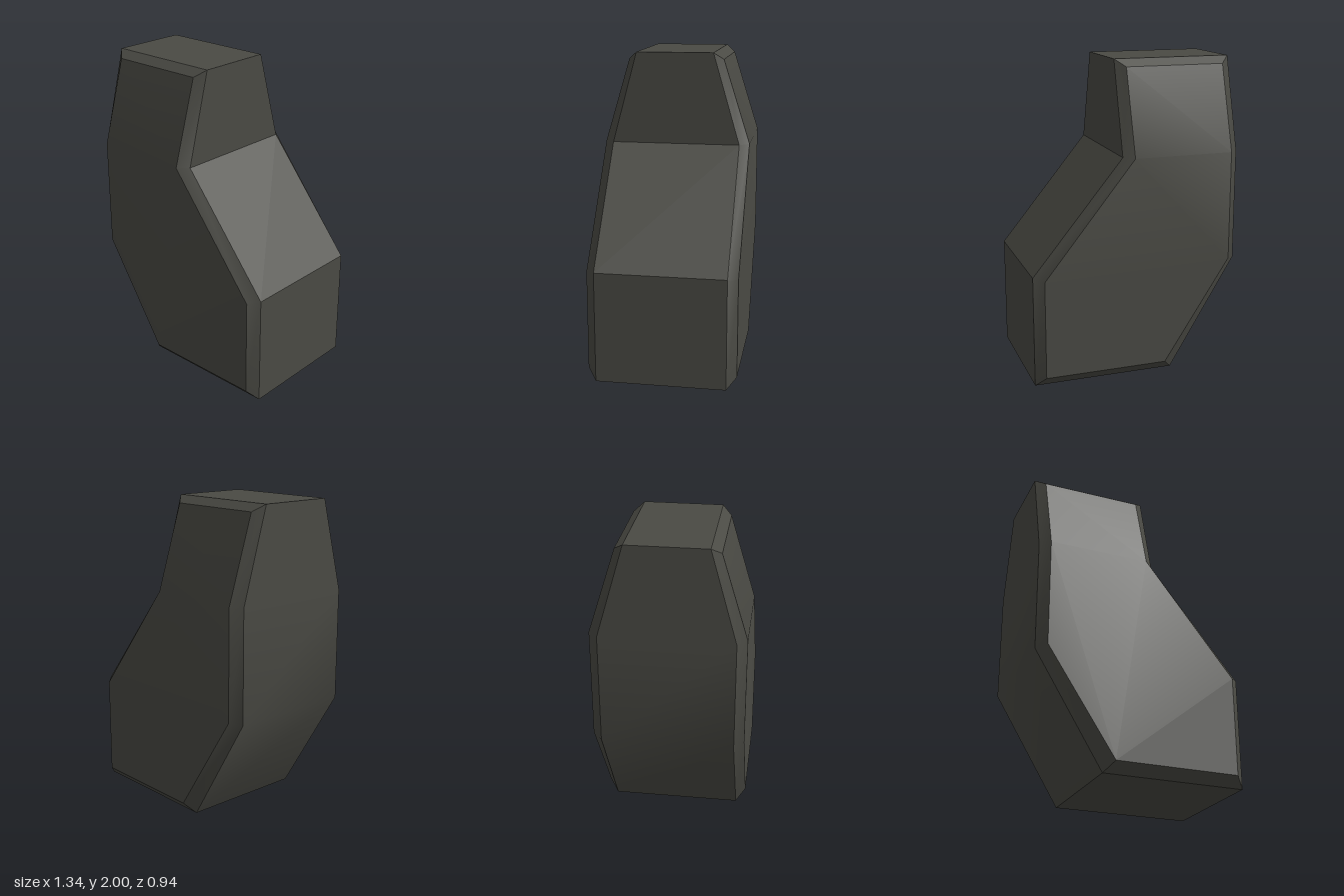
import * as THREE from 'three';
import { toCreasedNormals } from 'three/addons/utils/BufferGeometryUtils.js';

// Bent outline, counter-clockwise from the lower left: outer edge and bevelled inner edge
const outer = [[-0.24, 0], [0.67, 0], [0.67, 0.71], [0.09, 1.42], [0.09, 2], [-0.67, 2], [-0.67, 1.42], [-0.67, 0.71]];
const inner = [[-0.18, 0.065], [0.61, 0.065], [0.61, 0.695], [0.03, 1.42], [0.03, 1.955], [-0.61, 1.955], [-0.61, 1.42], [-0.61, 0.725]];

// Places an outline in depth; the two topmost points taper inward
const ring = (outline, z, zTop) => outline.map(([x, y], i) => [x, y, i === 4 || i === 5 ? zTop : z]);

function blockGeometry() {
  const rings = [
    ring(inner, 0.47, 0.31),
    ring(outer, 0.41, 0.252),
    ring(outer, -0.41, -0.24),
    ring(inner, -0.47, -0.3),
  ];
  const positions = [];
  const fan = (pts) => {
    for (let i = 1; i < pts.length - 1; i++) positions.push(...pts[0], ...pts[i], ...pts[i + 1]);
  };

  // Front bevel, side walls and back bevel
  for (let r = 0; r < 3; r++) {
    const a = rings[r], b = rings[r + 1];
    for (let i = 0; i < 8; i++) {
      const j = (i + 1) % 8;
      fan([a[i], b[i], b[j], a[j]]);
    }
  }

  // Front and back faces, each folded where the taper begins
  for (const face of [[0, 1, 2, 3, 6, 7], [3, 4, 5, 6]]) {
    fan(face.map((i) => rings[0][i]));
    fan(face.map((i) => rings[3][i]).reverse());
  }

  const geometry = new THREE.BufferGeometry();
  geometry.setAttribute('position', new THREE.Float32BufferAttribute(positions, 3));
  return toCreasedNormals(geometry, 0.6);
}

export function createModel() {
  const group = new THREE.Group();
  group.name = 'bentBlock';
  const darkGrey = new THREE.MeshStandardMaterial({ color: 0x4a4a44 });
  darkGrey.name = 'dark grey';
  const body = new THREE.Mesh(blockGeometry(), darkGrey);
  body.name = 'bevelledBody';
  group.add(body);
  return group;
}
